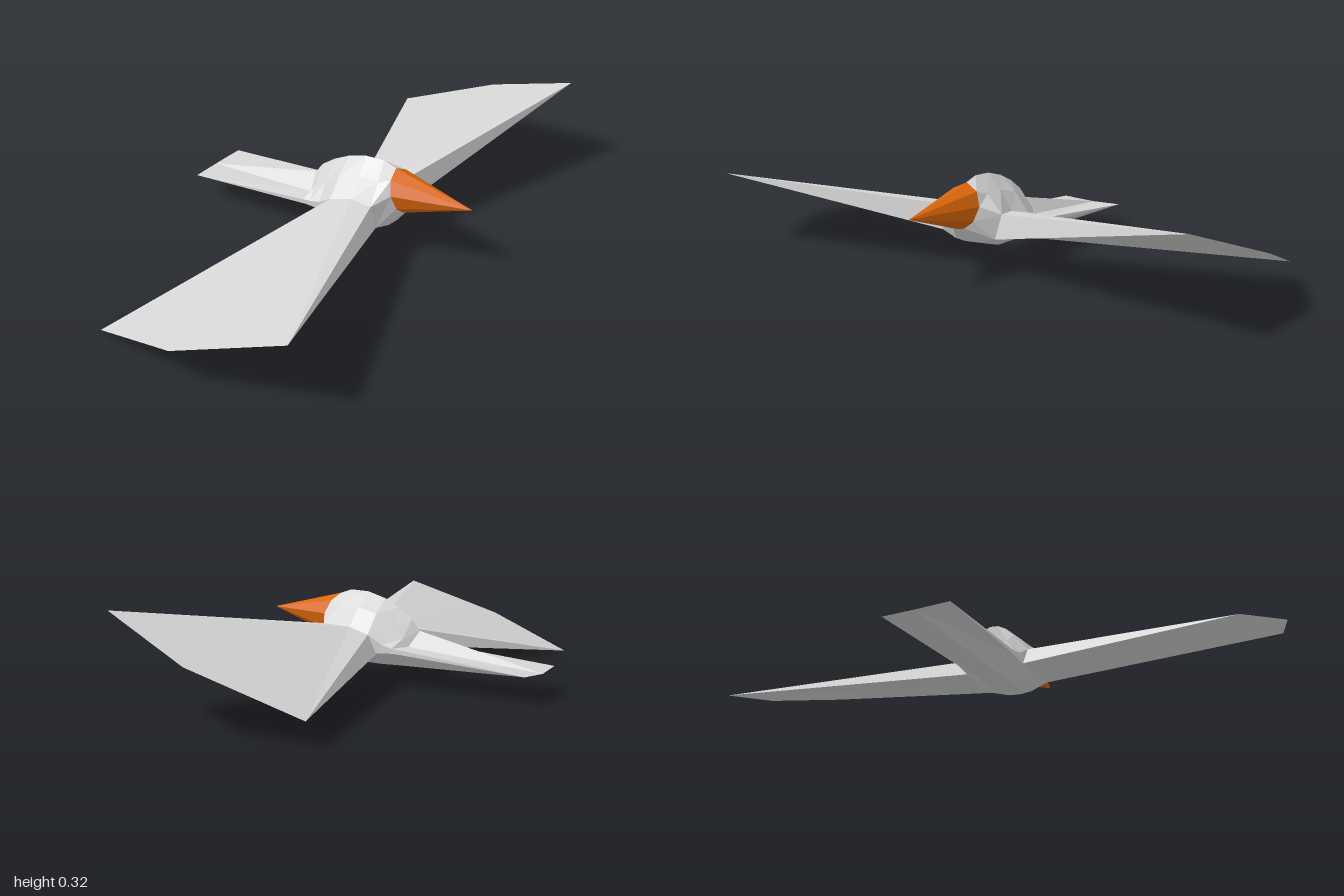
import * as THREE from 'three';

const plumage = new THREE.MeshStandardMaterial({ color: 0xd6d6d6 });
plumage.name = 'pale grey plumage';
const orange = new THREE.MeshStandardMaterial({ color: 0xdb670c });
orange.name = 'orange beak';

// Non-indexed geometry gives every facet its own flat normal.
function facetMesh(name, triangles, material) {
  const points = [];
  for (const [a, b, c] of triangles) {
    const [A, B, C] = [a, b, c].map(p => new THREE.Vector3(...p));
    if (B.clone().sub(A).cross(C.clone().sub(A)).length() < 1e-8) continue;
    points.push(A, B, C);
  }
  const geometry = new THREE.BufferGeometry().setFromPoints(points);
  geometry.computeVertexNormals();
  const mesh = new THREE.Mesh(geometry, material);
  mesh.name = name;
  return mesh;
}

// Turn a half section (ridge, flank, side, lower side, belly, keel) into a loop.
const fullRing = half => [
  ...half,
  ...half.slice(1, -1).reverse().map(([x, y, z]) => [x, y, -z]),
];

// Skin a row of half sections, ordered from front to back.
function loft(name, halves, material) {
  const rings = halves.map(fullRing);
  const triangles = [];
  for (let r = 0; r < rings.length - 1; r++) {
    const a = rings[r], b = rings[r + 1];
    for (let i = 0; i < a.length; i++) {
      const j = (i + 1) % a.length;
      triangles.push([a[i], b[i], b[j]], [a[i], b[j], a[j]]);
    }
  }
  return facetMesh(name, triangles, material);
}

// Wing: thick six-point root tapering to a thin three-point tip.
function wing(name, side, dx, dy) {
  const root = [
    [0.06, 0.18, 0.113], [0.14, 0.2, 0.103], [0.23, 0.21, 0.13],
    [0.24, 0.125, 0.11], [0.14, 0.115, 0.113], [0.03, 0.115, 0.108],
  ];
  const tip = [[-0.237, 0.004, 0.92], [0.12, 0.13, 0.998], [0.48, 0.256, 0.92]]
    .map(([x, y, z]) => [x + dx, y + dy, z]);
  const p = [...root, ...tip].map(([x, y, z]) => [x, y, z * side]);
  const faces = [
    [0, 6, 1], [6, 7, 1], [7, 8, 1], [1, 8, 2], [2, 8, 3],
    [3, 8, 4], [8, 7, 4], [7, 6, 4], [4, 6, 5], [5, 6, 0],
  ];
  const triangles = faces.map(([a, b, c]) =>
    side > 0 ? [p[a], p[b], p[c]] : [p[a], p[c], p[b]]);
  return facetMesh(name, triangles, plumage);
}

export function createModel() {
  const bird = new THREE.Group();
  bird.name = 'bird';

  // Shared sections where the beak and tail meet the body
  const face = [
    [0.246, 0.303, 0], [0.255, 0.28, 0.048], [0.27, 0.235, 0.07],
    [0.284, 0.185, 0.055], [0.293, 0.16, 0.025], [0.295, 0.155, 0],
  ];
  const rump = [
    [-0.08, 0.19, 0], [-0.065, 0.14, 0.053], [-0.06, 0.135, 0.106],
    [-0.05, 0.12, 0.106], [-0.02, 0.07, 0.04], [-0.02, 0.07, 0],
  ];

  // Body with a sharp arched back and flat belly
  bird.add(loft('body', [
    face,
    [[0.2, 0.318, 0], [0.215, 0.267, 0.062], [0.23, 0.21, 0.13],
      [0.24, 0.125, 0.11], [0.25, 0.107, 0.045], [0.255, 0.105, 0]],
    [[0.13, 0.315, 0], [0.135, 0.265, 0.055], [0.14, 0.2, 0.105],
      [0.14, 0.115, 0.115], [0.135, 0.072, 0.045], [0.135, 0.068, 0]],
    [[0.06, 0.295, 0], [0.06, 0.245, 0.06], [0.06, 0.18, 0.115],
      [0.05, 0.115, 0.112], [0.05, 0.07, 0.045], [0.05, 0.069, 0]],
    [[0, 0.265, 0], [0, 0.2, 0.06], [0.01, 0.148, 0.107],
      [0.01, 0.118, 0.107], [0.01, 0.07, 0.043], [0.01, 0.069, 0]],
    [[-0.05, 0.23, 0], [-0.045, 0.165, 0.06], [-0.03, 0.138, 0.106],
      [-0.02, 0.12, 0.106], [0, 0.07, 0.041], [0, 0.07, 0]],
    rump,
  ], plumage));

  // Tail closing to a centre point and two flat outer feathers
  const centre = [-0.54, 0.083, 0], corner = [-0.53, 0.09, 0.12];
  bird.add(loft('tail',
    [rump, [centre, centre, corner, corner, centre, centre]], plumage));

  // Pointed beak
  bird.add(loft('beak', [Array(6).fill([0.536, 0.237, 0]), face], orange));

  // Wings, slightly banked
  bird.add(wing('rightWing', 1, 0, 0), wing('leftWing', -1, -0.02, 0.07));
  return bird;
}
